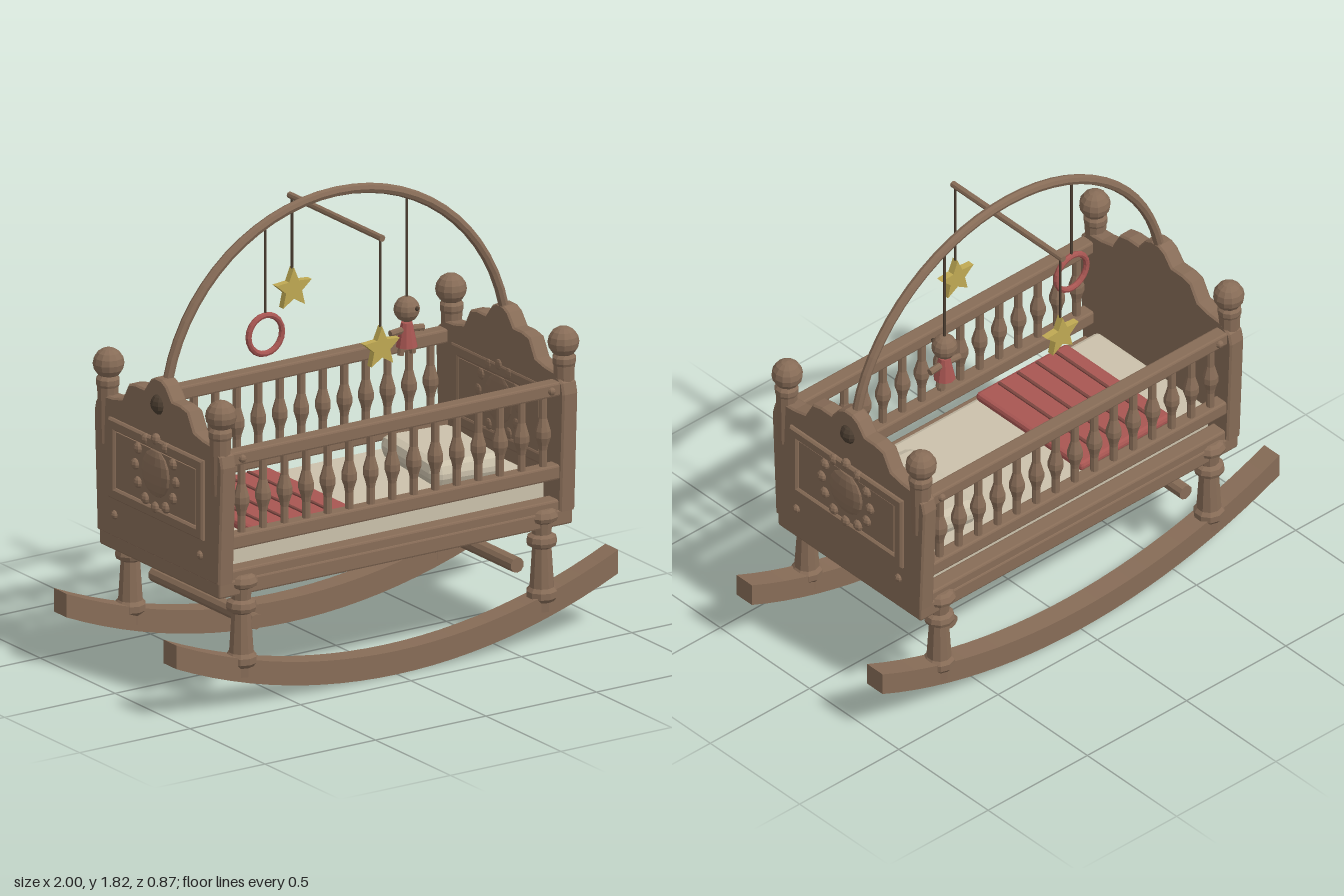
import * as THREE from 'three';
import { RoundedBoxGeometry } from 'three/addons/geometries/RoundedBoxGeometry.js';

const mat = (name, color) => new THREE.MeshStandardMaterial({ name, color, flatShading: true });

export function createModel() {
  const wood = mat('wood', 0x876c57);
  const darkWood = mat('darkWood', 0x4c3e31);
  const cream = mat('cream', 0xcbc1ab);
  const red = mat('red', 0xa85652);
  const darkRed = mat('darkRed', 0x7a453f);
  const gold = mat('gold', 0xbfa953);

  const root = new THREE.Group();
  const add = (name, geo, material, x = 0, y = 0, z = 0, parent = root) => {
    const m = new THREE.Mesh(geo, material);
    m.name = name;
    m.position.set(x, y, z);
    parent.add(m);
    return m;
  };
  const box = (name, w, h, d, m, x, y, z, r = 0.008) =>
    add(name, new RoundedBoxGeometry(w, h, d, 1, r), m, x, y, z);
  const cyl = (r, h, n = 10, r2 = r) => new THREE.CylinderGeometry(r, r2, h, n);
  const lathe = (pts, n = 10) => new THREE.LatheGeometry(pts.map(p => new THREE.Vector2(...p)), n);
  const string = (x, z, top, bottom) =>
    add('string', cyl(0.005, top - bottom, 6), darkWood, x, (top + bottom) / 2, z);

  // Rockers: constant-depth curved runners
  const R = 2.49, N = 24;
  const arc = x => R - Math.sqrt(R * R - x * x);
  const runner = [];
  for (let i = 0; i <= N; i++) { const x = -1 + 2 * i / N; runner.push(new THREE.Vector2(x, arc(x))); }
  for (let i = N; i >= 0; i--) { const x = -1 + 2 * i / N; runner.push(new THREE.Vector2(x, arc(x) + 0.093)); }
  const runnerGeo = new THREE.ExtrudeGeometry(new THREE.Shape(runner), { depth: 0.086, bevelEnabled: false });
  runnerGeo.translate(0, 0, -0.043);
  const legGeo = lathe([[0, 0.12], [0.048, 0.12], [0.048, 0.155], [0.06, 0.17], [0.06, 0.195], [0.048, 0.21],
    [0.038, 0.365], [0.055, 0.375], [0.06, 0.39], [0.055, 0.41], [0.038, 0.42], [0.042, 0.465],
    [0.06, 0.475], [0.065, 0.49], [0.055, 0.51], [0.04, 0.52], [0, 0.52]]);
  const postGeo = lathe([[0, 0.85], [0.036, 0.85], [0.042, 1.07], [0.046, 1.08], [0.046, 1.1], [0.03, 1.12], [0, 1.12]]);
  const spindleGeo = lathe([[0.016, 0.67], [0.016, 0.75], [0.02, 0.77], [0.03, 0.8], [0.03, 0.825],
    [0.02, 0.86], [0.016, 0.875], [0.016, 0.97]], 8);

  for (const s of [-1, 1]) {
    add('rocker', runnerGeo, wood, 0, 0, s * 0.366);
    // Side railing
    box('topRail', 1.5, 0.055, 0.06, wood, 0, 0.985, s * 0.375);
    box('lowerRail', 1.5, 0.058, 0.06, wood, 0, 0.656, s * 0.372);
    box('baseRail', 1.5, 0.06, 0.07, wood, 0, 0.515, s * 0.36);
    for (let i = 0; i < 15; i++) add('spindle', spindleGeo, wood, (i - 7) * 0.0975, 0, s * 0.375);
    // Cross stretcher between the rockers
    add('stretcher', cyl(0.03, 0.68, 10), wood, s * 0.59, 0.3, 0).rotation.x = Math.PI / 2;
    for (const t of [-1, 1]) {
      add('leg', legGeo, wood, s * 0.68, 0, t * 0.37);
      add('cornerPost', postGeo, wood, s * 0.778, 0, t * 0.375);
      add('finial', new THREE.SphereGeometry(0.06, 12, 8), wood, s * 0.775, 1.16, t * 0.375);
      add('railBolt', new THREE.SphereGeometry(0.016, 8, 6), wood, s * 0.7, 0.985, t * 0.407);
      add('endScrew', new THREE.SphereGeometry(0.018, 8, 6), wood, s * 0.805, 0.59, t * 0.285);
    }
  }

  // Base and bedding
  box('base', 1.6, 0.065, 0.8, wood, 0, 0.475, 0);
  box('mattress', 1.47, 0.12, 0.63, cream, 0, 0.558, 0, 0.02);
  box('pillow', 0.31, 0.1, 0.45, cream, 0.49, 0.652, -0.015, 0.04).rotation.y = -0.11;
  box('blanket', 0.46, 0.04, 0.595, red, -0.34, 0.63, 0.01, 0.015);
  for (let i = 0; i < 4; i++) box('blanketStripe', 0.014, 0.012, 0.56, darkRed, -0.5 + i * 0.095, 0.65, 0.01, 0.003);

  // Scalloped end boards
  const half = [[0.4, 0.505], [0.42, 0.965], [0.41, 1.005], [0.365, 1.035], [0.3, 1.04], [0.235, 1.055],
    [0.195, 1.125], [0.15, 1.135], [0.09, 1.135], [0.05, 1.185], [0.02, 1.2]];
  const outline = [...half, ...half.map(([z, y]) => [-z, y]).reverse()].map(p => new THREE.Vector2(...p));
  const boardGeo = new THREE.ExtrudeGeometry(new THREE.Shape(outline),
    { depth: 0.052, bevelThickness: 0.008, bevelSize: 0.006, bevelSegments: 1 });
  boardGeo.translate(0, 0, -0.026).rotateY(Math.PI / 2);

  const rect = (S, w, h) => S.moveTo(-w, -h).lineTo(w, -h).lineTo(w, h).lineTo(-w, h).closePath();
  const frameShape = rect(new THREE.Shape(), 0.308, 0.151);
  frameShape.holes.push(rect(new THREE.Path(), 0.278, 0.121));
  const frameGeo = new THREE.ExtrudeGeometry(frameShape,
    { depth: 0.008, bevelThickness: 0.008, bevelSize: 0.007, bevelSegments: 1 });

  // Carved panel: frame, raised field, medallion and ring of beads, facing local +z
  const carving = (x, turn, depth) => {
    const g = new THREE.Group();
    g.name = 'carvedPanel';
    g.position.set(x, 0.813, 0);
    g.rotation.y = turn;
    g.scale.z = depth;
    add('panelFrame', frameGeo, wood, 0, 0, 0, g);
    add('panelField', new THREE.BoxGeometry(0.53, 0.22, 0.012), wood, 0, 0, 0.002, g);
    add('medallion', new THREE.SphereGeometry(0.095, 14, 8), wood, 0, 0.022, 0.005, g).scale.z = 0.26;
    for (let i = 0; i < 12; i++) {
      const a = i * Math.PI / 6;
      add('bead', new THREE.SphereGeometry(0.023, 8, 6), wood,
        Math.cos(a) * 0.135, 0.022 + Math.sin(a) * 0.135, 0.008, g).scale.z = 0.8;
    }
    root.add(g);
  };
  for (const s of [-1, 1]) {
    add('endBoard', boardGeo, wood, s * 0.773, 0, 0);
    add('hoopBoss', new THREE.SphereGeometry(0.044, 10, 8), darkWood, s * 0.788, 1.105, 0);
    carving(s * 0.807, s * Math.PI / 2, 1);
  }
  carving(0.739, -Math.PI / 2, 0.4);

  // Overhead hoop and crossbar
  const hoop = [];
  for (let i = 0; i <= 24; i++) {
    const a = Math.PI * i / 24;
    hoop.push(new THREE.Vector3(-0.775 * Math.cos(a), 1.05 + 0.745 * Math.sin(a), 0));
  }
  add('hoop', new THREE.TubeGeometry(new THREE.CatmullRomCurve3(hoop), 32, 0.02, 8), wood);
  add('crossbar', cyl(0.013, 0.62, 8), wood, 0, 1.695, 0).rotation.x = Math.PI / 2;

  // Hanging stars
  const star = new THREE.Shape();
  for (let i = 0; i < 10; i++) {
    const a = Math.PI / 2 + i * Math.PI / 5, r = i % 2 ? 0.038 : 0.084;
    star[i ? 'lineTo' : 'moveTo'](r * Math.cos(a), r * Math.sin(a));
  }
  star.closePath();
  const starGeo = new THREE.ExtrudeGeometry(star, { depth: 0.028, bevelEnabled: false });
  starGeo.translate(0, 0, -0.014);
  for (const [y, z] of [[1.262, 0.295], [1.33, -0.293]]) {
    add('star', starGeo, gold, 0, y, z);
    string(0, z, 1.69, y + 0.08);
  }

  // Hanging ring
  add('ring', new THREE.TorusGeometry(0.076, 0.012, 8, 20), red, -0.32, 1.29, 0);
  string(-0.32, 0, 1.725, 1.375);

  // Hanging doll
  string(0.32, 0, 1.725, 1.315);
  add('dollHead', new THREE.SphereGeometry(0.05, 12, 8), wood, 0.32, 1.27, 0);
  add('dollNose', new THREE.SphereGeometry(0.009, 6, 5), darkWood, 0.335, 1.28, 0.046);
  add('dollDress', cyl(0.022, 0.095, 10, 0.042), red, 0.32, 1.17, 0);
  for (const s of [-1, 1]) {
    add('dollArm', cyl(0.014, 0.055, 8), wood, 0.32 + s * 0.047, 1.187, 0).rotation.z = Math.PI / 2 - s * 0.1;
    add('dollLeg', cyl(0.013, 0.06, 8), wood, 0.32 + s * 0.024, 1.122, 0).rotation.z = s * 0.12;
  }
  return root;
}
